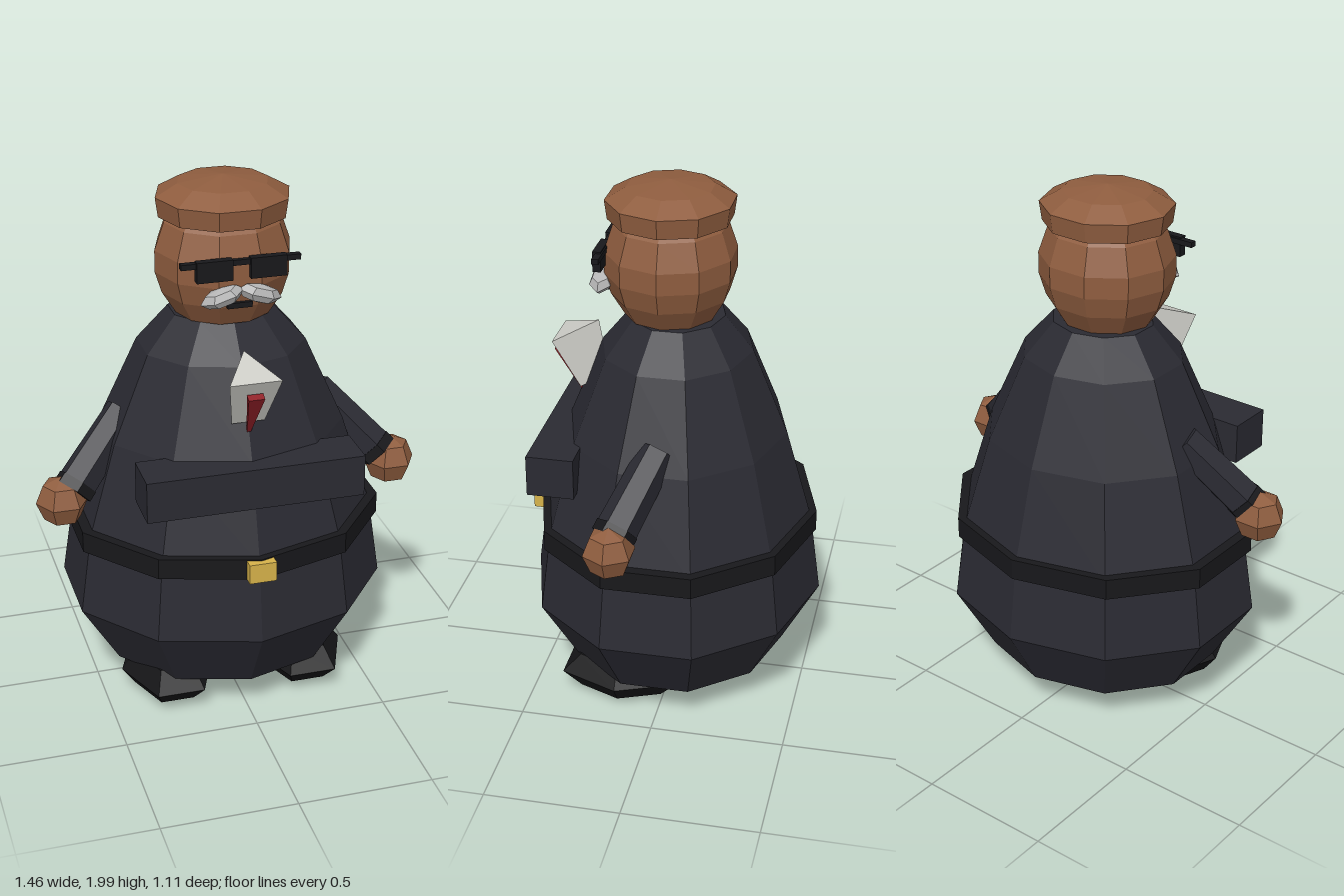
import * as THREE from 'three';

const mat = (color) => new THREE.MeshStandardMaterial({ color, flatShading: true });

export function createModel() {
  const suit = mat(0x2a2a32), black = mat(0x18181b), shoeMat = mat(0x151517), skin = mat(0x8f5d3f);
  const white = mat(0xccccc6), grey = mat(0xb4b4b4), red = mat(0x8f1f26), gold = mat(0xd6b24a);
  const model = new THREE.Group();

  const add = (name, geometry, material, x = 0, y = 0, z = 0) => {
    const mesh = new THREE.Mesh(geometry, material);
    mesh.name = name;
    mesh.position.set(x, y, z);
    model.add(mesh);
    return mesh;
  };
  const box = (name, material, w, h, d, x, y, z) =>
    add(name, new THREE.BoxGeometry(w, h, d), material, x, y, z);
  // ten-sided turned form, squashed front to back
  const turned = (points, zScale, turn = 0) =>
    new THREE.LatheGeometry(points.map(([r, y]) => new THREE.Vector2(r, y)), 10)
      .rotateY(turn).scale(1, 1, zScale);
  // coarse ellipsoid
  const blob = (rx, ry, rz) => new THREE.SphereGeometry(1, 6, 4).scale(rx, ry, rz);
  // six-sided rod between two points
  const rod = (name, material, from, to, r0, r1) => {
    const dir = to.clone().sub(from);
    const mesh = add(name, new THREE.CylinderGeometry(r1, r0, dir.length(), 6), material);
    mesh.position.copy(from).addScaledVector(dir, 0.5);
    mesh.quaternion.setFromUnitVectors(new THREE.Vector3(0, 1, 0), dir.normalize());
    return mesh;
  };

  // robe-like body and belt
  add('body', turned([[0, 0.15], [0.462, 0.15], [0.615, 0.4], [0.57, 0.7], [0.458, 1.05],
    [0.312, 1.37], [0.195, 1.5], [0, 1.5]], 0.9), suit);
  add('belt', turned([[0.55, 0.65], [0.6, 0.65], [0.6, 0.73], [0.54, 0.73]], 0.888), black);
  box('beltBuckle', gold, 0.1, 0.075, 0.04, 0, 0.688, 0.535);
  box('chestBar', suit, 0.8, 0.155, 0.175, 0, 0.983, 0.388);

  // shirt wedge and tie leaning forward
  const shirt = add('shirtFront', new THREE.CylinderGeometry(0.11, 0.07, 0.21, 3).rotateY(Math.PI),
    white, 0, 1.302, 0.36);
  shirt.rotation.x = 0.37;
  const tie = add('tie', new THREE.CylinderGeometry(0.042, 0.008, 0.2, 4).rotateY(Math.PI / 4).scale(1, 1, 0.45),
    red, 0, 1.238, 0.402);
  tie.rotation.x = 0.46;

  // head and flat cap
  add('head', turned([[0, 1.46], [0.175, 1.5], [0.225, 1.58], [0.25, 1.66], [0.25, 1.74],
    [0.215, 1.84], [0.17, 1.89], [0, 1.9]], 0.96, Math.PI / 2), skin, 0, 0, 0.025);
  add('cap', turned([[0, 1.86], [0.235, 1.862], [0.245, 1.933], [0.165, 1.978], [0, 2]], 0.96, Math.PI / 2),
    skin, 0, 0, 0.025);

  // face
  box('glassesBar', black, 0.43, 0.02, 0.025, 0, 1.755, 0.25);
  box('mouth', black, 0.09, 0.02, 0.03, 0, 1.592, 0.235);

  for (const s of [1, -1]) {
    box('lens', black, 0.13, 0.075, 0.03, s * 0.097, 1.733, 0.258);
    const moustache = add('moustache', blob(0.082, 0.034, 0.045), grey, s * 0.068, 1.635, 0.262);
    moustache.rotation.z = -s * 0.3;

    // arm, cuff and hand
    const shoulder = new THREE.Vector3(s * 0.37, 1.12, -0.005);
    const wrist = new THREE.Vector3(s * 0.58, 0.893, 0.105);
    const cuffEnd = wrist.clone().lerp(shoulder, -0.06);
    rod('arm', suit, shoulder, wrist, 0.068, 0.076);
    rod('cuff', black, wrist.clone().lerp(shoulder, 0.06), cuffEnd, 0.079, 0.079);
    add('hand', blob(0.097, 0.097, 0.097), skin, s * 0.632, 0.847, 0.115);

    add('shoe', blob(0.178, 0.1, 0.255), shoeMat, s * 0.258, 0.108, 0.157);
  }

  // stand exactly on the ground
  const bounds = new THREE.Box3().setFromObject(model, true);
  for (const part of model.children) part.position.y -= bounds.min.y;
  return model;
}
